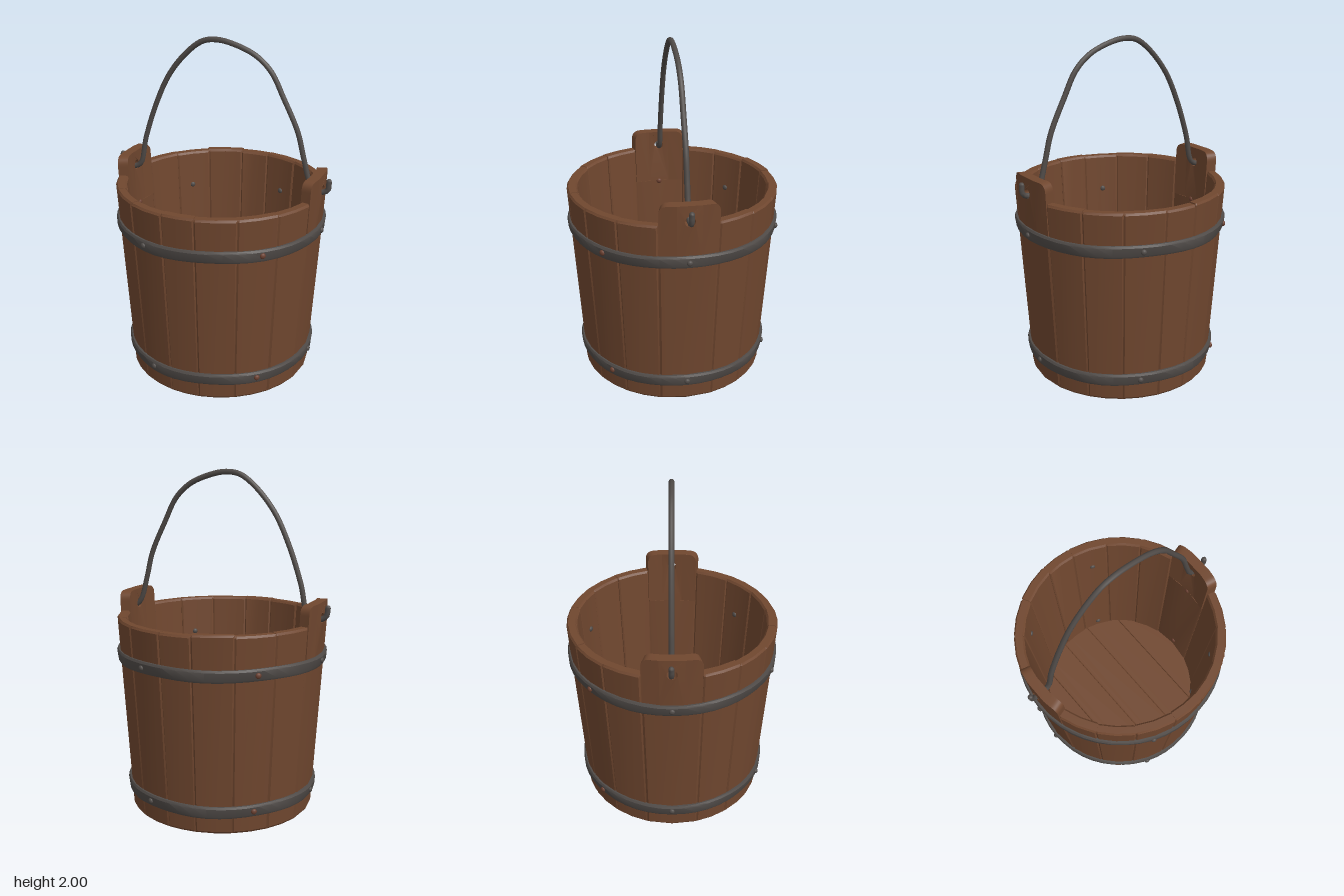
import * as THREE from 'three';
import { toCreasedNormals } from 'three/addons/utils/BufferGeometryUtils.js';

const rad = THREE.MathUtils.degToRad;
const RIM = 0.62, RIM_Y = 1.16, EAR_TOP = 1.27, WALL = 0.06;
// Outer radius of the tapered wall at height y
const wallRadius = (y) => 0.547 + (RIM - 0.547) * Math.min(y / RIM_Y, 1);

let seed = 7;
const rnd = () => (seed = (seed * 16807) % 2147483647) / 2147483647;

function editVertices(geo, rule) {
  const p = geo.attributes.position, v = new THREE.Vector3();
  for (let i = 0; i < p.count; i++) {
    rule(v.fromBufferAttribute(p, i));
    p.setXYZ(i, v.x, v.y, v.z);
  }
  return geo;
}

// Wraps a flat board (x across, y up, z outward from 0 to thickness) around the bucket
function bend(geo, angle, thickness) {
  editVertices(geo, (v) => {
    const a = angle + v.x / RIM, r = wallRadius(v.y) - thickness + v.z;
    v.set(r * Math.sin(a), v.y, r * Math.cos(a));
  });
  return toCreasedNormals(geo, 0.5);
}

// Board with eased edges, bent to the wall
function staveGeometry(a0, a1, height, thickness, topEase) {
  const w = (a1 - a0) * RIM, geo = new THREE.BoxGeometry(1, 1, 1, 4, 3, 1);
  editVertices(geo, (v) => {
    const col = Math.round((v.x + 0.5) * 4), row = Math.round((v.y + 0.5) * 3);
    const x = [-0.5, -0.46, 0, 0.46, 0.5][col] * w;
    const y = [0, 0.012, height - topEase, height][row];
    let ease = col === 0 || col === 4 ? 0.006 : 0;
    if (row === 0) ease = Math.max(ease, 0.008);
    if (row === 3) ease = Math.max(ease, topEase * 0.8);
    v.set(x, y, (v.z + 0.5) * thickness - Math.sign(v.z) * ease);
  });
  return bend(geo, (a0 + a1) / 2, thickness);
}

// Upper part of an ear stave, as three strips so that it follows the curve
function earShapes(halfWidth, y0) {
  const mid = 0.07, c = 0.055;
  const centre = new THREE.Shape([[-mid, y0], [mid, y0], [mid, EAR_TOP], [-mid, EAR_TOP]]
    .map(([x, y]) => new THREE.Vector2(x, y)));
  const hole = new THREE.Path();
  hole.absarc(0, 1.18, 0.03, 0, Math.PI * 2, true);
  centre.holes.push(hole);
  const sides = [-1, 1].map((s) => {
    const side = new THREE.Shape();
    side.moveTo(s * mid, y0);
    side.lineTo(s * halfWidth, y0);
    side.lineTo(s * halfWidth, EAR_TOP - c);
    side.quadraticCurveTo(s * halfWidth, EAR_TOP, s * (halfWidth - c), EAR_TOP);
    side.lineTo(s * mid, EAR_TOP);
    return side;
  });
  return [centre, ...sides];
}

// Iron band with a slightly hammered, uneven face
function hoopGeometry(y0, y1) {
  const h = y1 - y0, ra = wallRadius(y0), rb = wallRadius(y1);
  const profile = [[ra - 0.02, y0], [ra + 0.009, y0], [ra + 0.016, y0 + 0.012],
    [rb + 0.016, y1 - 0.012], [rb + 0.009, y1], [rb - 0.02, y1]]
    .map(([r, y]) => new THREE.Vector2(r, y));
  const geo = editVertices(new THREE.LatheGeometry(profile, 48), (v) => {
    const a = Math.atan2(v.x, v.z), side = (v.y - (y0 + y1) / 2) / h;
    const k = 1 + 0.008 * side * Math.sin(7 * a);
    v.set(v.x * k, v.y + 0.003 * Math.sin(5 * a), v.z * k);
  });
  return toCreasedNormals(geo, 0.6);
}

// Floor board: slice of a disc between two x positions
function floorBoard(x0, x1, radius, thickness) {
  const bevel = 0.004, a = x0 + bevel, b = x1 - bevel, pts = [];
  for (const s of [-1, 1]) {
    for (let i = 0; i <= 10; i++) {
      const x = s < 0 ? a + (b - a) * i / 10 : b - (b - a) * i / 10;
      pts.push(new THREE.Vector2(x, s * Math.sqrt(Math.max(radius * radius - x * x, 0.0001))));
    }
  }
  return new THREE.ExtrudeGeometry(new THREE.Shape(pts), {
    depth: thickness - 2 * bevel, bevelSize: bevel, bevelThickness: bevel, bevelSegments: 1,
  }).rotateX(-Math.PI / 2);
}

export function createModel() {
  const bucket = new THREE.Group();
  bucket.name = 'bucket';
  const material = (name, color) => {
    const m = new THREE.MeshStandardMaterial({ color });
    m.name = name;
    return m;
  };
  const wood = material('brown wood', 0x70472f);
  const iron = material('dark iron', 0x504b48);
  const rust = material('rusty iron', 0x6b4030);
  const add = (name, geo, mat, parent = bucket) => {
    const mesh = new THREE.Mesh(geo, mat);
    mesh.name = name;
    parent.add(mesh);
    return mesh;
  };
  const group = (name) => {
    const g = new THREE.Group();
    g.name = name;
    bucket.add(g);
    return g;
  };

  // Wall staves, front and back, between the two ears
  const staves = group('staves');
  const seams = [-74, -53, -32, -10, 8, 30, 52, 74].map(rad);
  for (const turn of [0, Math.PI]) {
    for (let i = 0; i < seams.length - 1; i++) {
      const geo = staveGeometry(seams[i] + turn, seams[i + 1] + turn,
        RIM_Y - 0.008 * rnd(), WALL - 0.004 + 0.008 * rnd(), 0.012);
      add('stave', geo, wood, staves);
    }
  }

  // Ear staves with a hole for the handle
  const earJoin = 0.94;
  for (const [name, angle] of [['leftEar', Math.PI / 2], ['rightEar', -Math.PI / 2]]) {
    const ear = group(name);
    add('earStave', staveGeometry(angle - rad(16), angle + rad(16), earJoin, WALL, 0), wood, ear);
    for (const shape of earShapes(rad(16) * RIM - 0.002, earJoin)) {
      const geo = new THREE.ExtrudeGeometry(shape, { depth: WALL, bevelEnabled: false, curveSegments: 8 });
      add('earPlate', bend(geo, angle, WALL), wood, ear);
    }
  }

  // Floor boards
  const floor = group('floor');
  const cuts = [-0.495, -0.31, -0.1, 0.1, 0.31, 0.495];
  for (let i = 0; i < 5; i++) {
    add('floorBoard', floorBoard(cuts[i], cuts[i + 1], 0.495, 0.045), wood, floor).position.y = 0.04;
  }

  // Iron hoops and their rivets, with heads outside and inside
  const rivetAngles = [0, 47, 112, 180, 228, 292];
  for (const [name, y0, y1] of [['upperHoop', 0.9, 0.97], ['lowerHoop', 0.1, 0.17]]) {
    add(name, hoopGeometry(y0, y1), iron);
    const rivets = group(name + 'Rivets'), y = (y0 + y1) / 2;
    for (const deg of rivetAngles) {
      for (const outside of [true, false]) {
        const r = wallRadius(y) + (outside ? 0.017 : -0.06), a = rad(deg);
        const rusty = outside ? deg === 47 || deg === 228 : deg % 180 === 0;
        const head = add('rivet', new THREE.SphereGeometry(0.017, 10, 8), rusty ? rust : iron, rivets);
        head.position.set(r * Math.cos(a), y, r * Math.sin(a));
        head.scale.x = 0.7;
        head.rotation.y = -a;
      }
    }
  }

  // Bent wire handle, hooked through both ears
  const path = [[-0.652, 1.24], [-0.645, 1.195], [-0.615, 1.172], [-0.56, 1.172], [-0.527, 1.2],
    [-0.49, 1.36], [-0.41, 1.59], [-0.32, 1.77], [-0.2, 1.91], [-0.11, 1.972], [-0.03, 1.984],
    [0.06, 1.97], [0.2, 1.915], [0.295, 1.83], [0.37, 1.69], [0.46, 1.5], [0.5, 1.35],
    [0.542, 1.21], [0.575, 1.172], [0.62, 1.167], [0.648, 1.185], [0.652, 1.235]];
  const curve = new THREE.CatmullRomCurve3(path.map(([x, y]) => new THREE.Vector3(x, y, -0.003)));
  add('handle', new THREE.TubeGeometry(curve, 110, 0.016, 8), iron);
  for (const end of [path[0], path[path.length - 1]]) {
    add('handleTip', new THREE.SphereGeometry(0.016, 8, 6), iron).position.set(end[0], end[1], -0.003);
  }
  return bucket;
}
